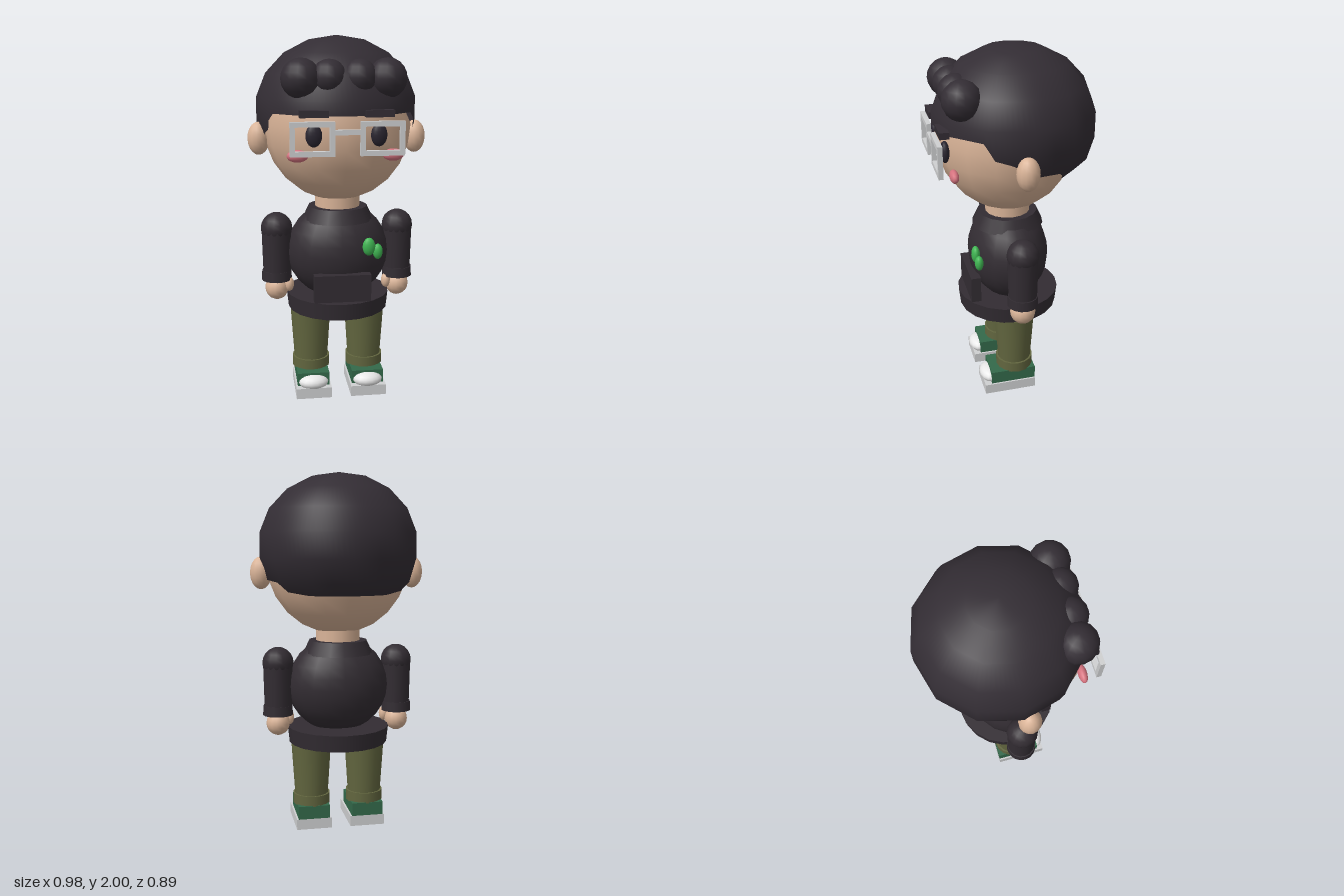
import * as THREE from 'three';

const paint = (name, color, side = THREE.FrontSide) => {
  const m = new THREE.MeshStandardMaterial({ color, side });
  m.name = name;
  return m;
};

export function createModel() {
  const hair = paint('dark hair', 0x332d34, THREE.DoubleSide);
  const cloth = paint('dark cloth', 0x322c32);
  const skin = paint('skin', 0xdab498);
  const eyeDark = paint('eye dark', 0x2a2530);
  const blush = paint('blush pink', 0xd5737f);
  const frame = paint('light grey', 0xcfd0d1);
  const olive = paint('olive', 0x62663f);
  const shoeGreen = paint('shoe green', 0x33694a);
  const leafGreen = paint('leaf green', 0x3fb552);
  const white = paint('toe white', 0xf0f0f0);

  const root = new THREE.Group();
  root.name = 'figure';
  const Z = 0.025; // body axis

  const add = (name, geo, mat, x, y, z) => {
    const mesh = new THREE.Mesh(geo, mat);
    mesh.name = name;
    mesh.position.set(x, y, z);
    root.add(mesh);
    return mesh;
  };
  const ball = (name, mat, x, y, z, rx, ry = rx, rz = rx, w = 14, h = 10) =>
    add(name, new THREE.SphereGeometry(1, w, h).scale(rx, ry, rz), mat, x, y, z);
  const box = (name, mat, x, y, z, w, h, d) =>
    add(name, new THREE.BoxGeometry(w, h, d), mat, x, y, z);
  // Round part between two heights
  const tube = (name, mat, x, z, y0, y1, r0, r1, n = 16) =>
    add(name, new THREE.CylinderGeometry(r1, r0, y1 - y0, n), mat, x, (y0 + y1) / 2, z);

  // Head, drawn in a little where the hair covers it
  const head = ball('head', skin, 0, 1.535, Z, 0.405, 0.425, 0.39, 16, 12);
  const hp = head.geometry.attributes.position;
  for (let i = 0; i < hp.count; i++) {
    if (hp.getY(i) > 0.02) {
      hp.setX(i, hp.getX(i) * 0.9);
      hp.setZ(i, hp.getZ(i) * 0.9);
    }
    if (hp.getZ(i) < 0) hp.setZ(i, hp.getZ(i) * 0.95);
  }

  // Hair cap: faceted dome whose hem height follows the angle from the front
  const hairCap = () => {
    const R = 0.445, RY = 0.395, COLS = 96;
    const hem = [[0, 0], [58, 0], [63, -0.085], [78, -0.12], [86, -0.185],
      [114, -0.195], [120, -0.245], [140, -0.26], [180, -0.26]];
    const rings = [];
    for (let j = 0; j <= 7; j++) {
      const t = (j * 20 * Math.PI) / 180;
      rings.push([Math.cos(t) * RY, Math.sin(t) * R * (j > 5 ? 1.04 : 1)]);
    }
    const lerp = (table, v, up) => {
      for (let i = 1; i < table.length; i++) {
        const [a, b] = [table[i - 1], table[i]];
        if (up ? v <= b[0] : v >= b[0]) return a[1] + ((b[1] - a[1]) * (v - a[0])) / (b[0] - a[0]);
      }
      return table[table.length - 1][1];
    };
    const pos = [], nor = [], idx = [];
    for (let c = 0; c <= COLS; c++) {
      const deg = (c * 360) / COLS, a = (deg * Math.PI) / 180;
      const low = lerp(hem, Math.min(deg, 360 - deg), true);
      const side = Math.cos(Math.PI / 12) / Math.cos((((deg % 30) - 15) * Math.PI) / 180);
      rings.forEach(([ry], j) => {
        const y = Math.max(ry, low), r = lerp(rings, y, false) * side;
        const x = Math.sin(a) * r, z = Math.cos(a) * r;
        pos.push(x, y, z);
        const n = new THREE.Vector3(x / R / R, y / RY / RY, z / R / R).normalize();
        nor.push(n.x, n.y, n.z);
        if (c < COLS && j < 7) {
          const p = c * 8 + j, q = p + 8;
          idx.push(p, p + 1, q + 1, p, q + 1, q);
        }
      });
    }
    const g = new THREE.BufferGeometry();
    g.setAttribute('position', new THREE.Float32BufferAttribute(pos, 3));
    g.setAttribute('normal', new THREE.Float32BufferAttribute(nor, 3));
    g.setIndex(idx);
    return g;
  };
  add('hairCap', hairCap(), hair, 0, 1.605, -0.01);

  // Glasses rim: rectangle with a rectangular hole
  const rect = (P, w, h) => {
    const p = new P();
    p.moveTo(-w, -h).lineTo(w, -h).lineTo(w, h).lineTo(-w, h).closePath();
    return p;
  };
  const rim = rect(THREE.Shape, 0.112, 0.086);
  rim.holes.push(rect(THREE.Path, 0.087, 0.06));
  const rimGeo = new THREE.ExtrudeGeometry(rim, { depth: 0.025, bevelEnabled: false });
  box('glassesBridge', frame, 0, 1.528, 0.4325, 0.13, 0.025, 0.024);

  // Torso
  tube('neck', skin, 0, Z, 1.05, 1.15, 0.125, 0.125);
  tube('collar', cloth, 0, Z, 1.0, 1.075, 0.2, 0.165);
  ball('torso', cloth, 0, 0.82, Z, 0.287, 0.275, 0.225, 20, 14);
  tube('sweaterHem', cloth, 0, Z, 0.492, 0.585, 0.28, 0.29, 20);
  box('frontPocket', cloth, 0, 0.66, 0.243, 0.31, 0.15, 0.055);
  ball('largeLeaf', leafGreen, 0.145, 0.885, 0.24, 0.035, 0.05, 0.024);
  ball('smallLeaf', leafGreen, 0.195, 0.855, 0.232, 0.027, 0.043, 0.024);

  // Mirrored parts
  for (const [s, side] of [[1, 'left'], [-1, 'right']]) {
    // Face and fringe
    ball(side + 'OuterCurl', hair, s * 0.22, 1.785, 0.305, 0.103);
    ball(side + 'InnerCurl', hair, s * 0.078, 1.79, 0.31, 0.092);
    ball(side + 'Ear', skin, s * 0.43, 1.455, Z, 0.06, 0.09, 0.06);
    ball(side + 'Eye', eyeDark, s * 0.165, 1.508, 0.39, 0.042, 0.058, 0.024);
    box(side + 'Eyebrow', hair, s * 0.165, 1.617, 0.4, 0.145, 0.035, 0.05);
    ball(side + 'Cheek', blush, s * 0.245, 1.403, 0.36, 0.055, 0.032, 0.024);
    add(side + 'GlassesRim', rimGeo, frame, s * 0.176, 1.496, 0.42);

    // Arm
    ball(side + 'Shoulder', cloth, s * 0.342, 0.953, Z, 0.088);
    tube(side + 'Sleeve', cloth, s * 0.342, Z, 0.68, 0.955, 0.078, 0.084);
    tube(side + 'SleeveCuff', cloth, s * 0.345, Z, 0.655, 0.71, 0.085, 0.082);
    ball(side + 'Hand', skin, s * 0.345, 0.607, Z, 0.067, 0.07, 0.07);
    ball(side + 'Thumb', skin, s * 0.277, 0.63, 0.05, 0.027, 0.042, 0.03);

    // Leg and shoe
    tube(side + 'TrouserLeg', olive, s * 0.155, Z, 0.14, 0.482, 0.093, 0.115);
    tube(side + 'TrouserCuff', olive, s * 0.155, Z, 0.13, 0.19, 0.107, 0.107);
    box(side + 'ShoeUpper', shoeGreen, s * 0.155, 0.0975, 0.05, 0.18, 0.075, 0.26);
    box(side + 'ShoeSole', frame, s * 0.155, 0.03, 0.07, 0.2, 0.06, 0.3);
    ball(side + 'ToeCap', white, s * 0.155, 0.083, 0.175, 0.085, 0.042, 0.06);
  }
  return root;
}
